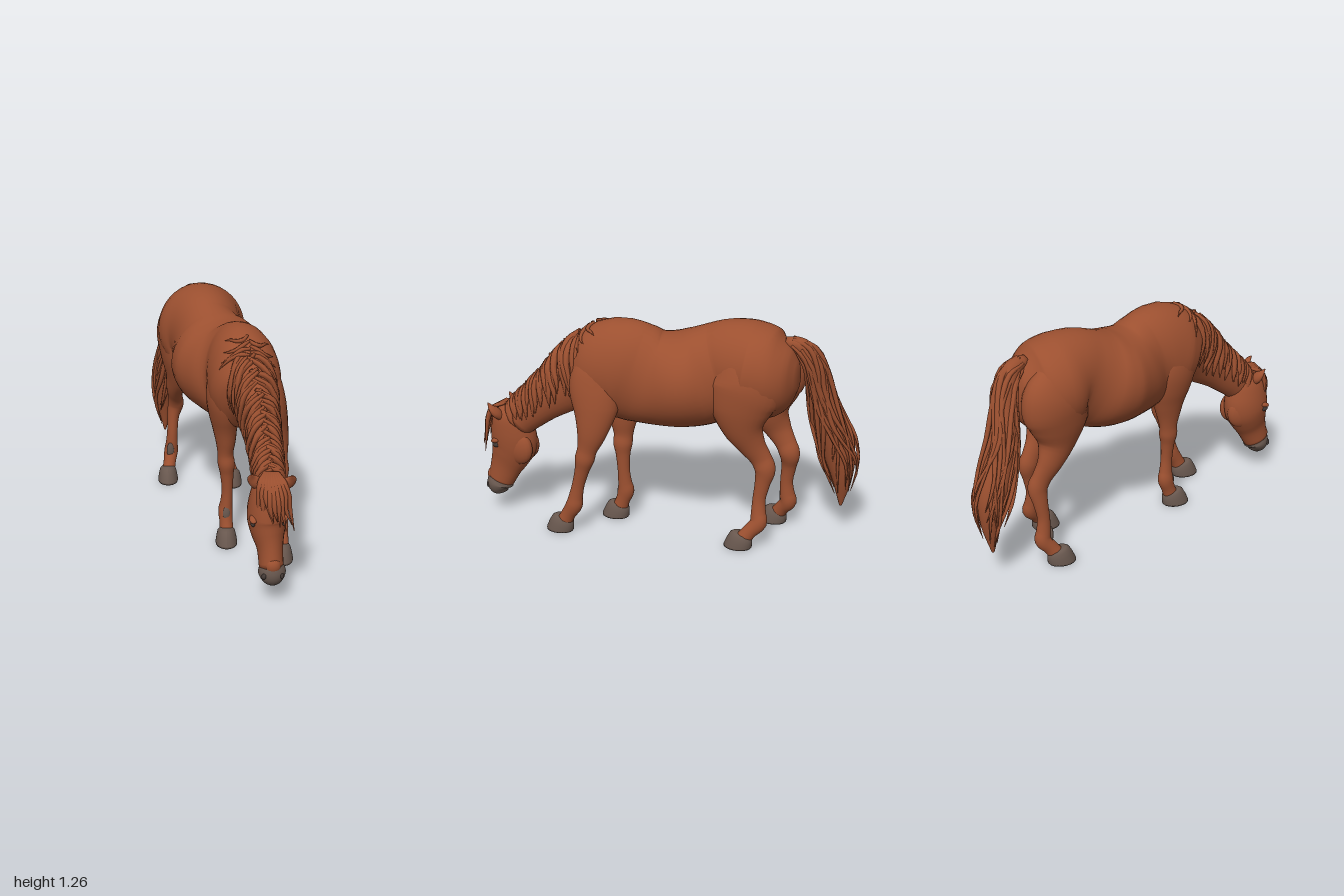
import * as THREE from 'three';
import { mergeGeometries } from 'three/addons/utils/BufferGeometryUtils.js';

const V = (x, y, z) => new THREE.Vector3(x, y, z);
const ACROSS = V(0.95, 0, -0.3); // sideways direction of the turned body
const HEAD_ACROSS = V(1, 0, -0.16);

// small seeded random in -1..1
let seed = 7;
const rnd = () => {
  seed = (seed * 16807) % 2147483647;
  return (seed / 2147483647) * 2 - 1;
};

// Surface point at (t along the path, angle) for sections [x, y, z, halfAcross, halfOther]
function sampler(sections, across) {
  const path = new THREE.CatmullRomCurve3(sections.map((s) => V(s[0], s[1], s[2])));
  const size = new THREE.CatmullRomCurve3(sections.map((s) => V(s[3], s[4], 0)), false, 'catmullrom', 0.5);
  return (t, angle, scale = 1) => {
    const p = path.getPoint(t), T = path.getTangent(t), r = size.getPoint(t);
    const L = across.clone().addScaledVector(T, -across.dot(T)).normalize();
    const U = T.cross(L);
    return p
      .addScaledVector(L, Math.max(r.x, 0.001) * Math.cos(angle) * scale)
      .addScaledVector(U, Math.max(r.y, 0.001) * Math.sin(angle) * scale);
  };
}

// Smooth capped skin over elliptical sections
function loft(sections, across = ACROSS, sides = 28, steps = 4) {
  const at = sampler(sections, across);
  const rings = (sections.length - 1) * steps;
  const pos = [], idx = [];
  for (let i = 0; i <= rings; i++)
    for (let j = 0; j < sides; j++) pos.push(...at(i / rings, (j / sides) * Math.PI * 2).toArray());
  pos.push(...at(0, 0, 0).toArray(), ...at(1, 0, 0).toArray());
  const c0 = (rings + 1) * sides, end = rings * sides;
  for (let j = 0; j < sides; j++) {
    const k = (j + 1) % sides;
    for (let i = 0; i < rings; i++) {
      const a = i * sides + j, b = i * sides + k;
      idx.push(a, b, a + sides, b, b + sides, a + sides);
    }
    idx.push(c0, k, j, c0 + 1, end + j, end + k);
  }
  const g = new THREE.BufferGeometry();
  g.setAttribute('position', new THREE.Float32BufferAttribute(pos, 3));
  g.setIndex(idx);
  g.computeVertexNormals();
  return g;
}

// Tapered lock of hair through a few points
const lock = (pts, wide, thick, across) =>
  loft(pts.map((p, i) => {
    const k = [0.6, 1, 0.9, 0.6, 0.1][Math.round((i / (pts.length - 1)) * 4)];
    return [p.x, p.y, p.z, wide * k, thick * k];
  }), across, 7, 3);

// Hoof: rounded drum, longer than wide, leaning forward and lower at the heel
function hoofGeometry() {
  const profile = [[0, 0], [0.058, 0], [0.06, 0.01], [0.054, 0.045], [0.047, 0.072], [0.036, 0.084], [0, 0.086]];
  const g = new THREE.LatheGeometry(profile.map((p) => new THREE.Vector2(...p)), 28);
  const p = g.attributes.position;
  for (let i = 0; i < p.count; i++) {
    const y = p.getY(i), z = p.getZ(i) * 1.33;
    p.setXYZ(i, p.getX(i), y * (1 + z * 3), z - y * 0.3);
  }
  g.computeVertexNormals();
  return g;
}

export function createModel() {
  const horse = new THREE.Group();
  horse.name = 'grazingHorse';
  const mat = (name, color) => Object.assign(new THREE.MeshStandardMaterial({ color }), { name });
  const coat = mat('chestnut coat', 0x9c5030);
  const hair = mat('mane and tail hair', 0x9a4f2f);
  const horn = mat('hoof and muzzle grey', 0x69584f);
  const dark = mat('dark eye and nostril', 0x453b37);
  const add = (name, geometry, material, parent = horse) => {
    const m = new THREE.Mesh(geometry, material);
    m.name = name;
    parent.add(m);
    return m;
  };
  const ball = (name, material, p, s, rot = [0, 0, 0]) => {
    const m = add(name, new THREE.SphereGeometry(1, 20, 14), material);
    m.position.set(...p);
    m.scale.set(...s);
    m.rotation.set(...rot);
  };

  // Trunk from rump to chest
  const trunk = [
    [-0.15, 0.97, -0.718, 0.05, 0.07], [-0.143, 0.97, -0.68, 0.14, 0.16],
    [-0.125, 0.97, -0.59, 0.22, 0.24], [-0.11, 0.985, -0.47, 0.25, 0.265],
    [-0.085, 0.99, -0.38, 0.215, 0.265], [-0.065, 0.965, -0.3, 0.2, 0.265],
    [-0.02, 0.925, -0.2, 0.255, 0.27], [0.03, 0.905, -0.1, 0.27, 0.265],
    [0.08, 0.905, 0.02, 0.23, 0.265], [0.125, 0.93, 0.12, 0.185, 0.285],
    [0.16, 0.952, 0.22, 0.195, 0.28], [0.18, 0.91, 0.34, 0.185, 0.24],
    [0.18, 0.885, 0.42, 0.14, 0.175], [0.175, 0.87, 0.465, 0.05, 0.07],
  ];
  add('trunk', loft(trunk, ACROSS, 40), coat);

  // Neck
  const neck = [
    [0.15, 0.98, 0.22, 0.1, 0.19], [0.19, 0.955, 0.33, 0.13, 0.2],
    [0.23, 0.895, 0.43, 0.115, 0.185], [0.265, 0.81, 0.53, 0.095, 0.152],
    [0.29, 0.73, 0.63, 0.085, 0.128], [0.31, 0.645, 0.725, 0.08, 0.112],
    [0.325, 0.58, 0.79, 0.075, 0.1],
  ];
  add('neck', loft(neck, HEAD_ACROSS), coat);

  // Head, cheeks and muzzle
  add('head', loft([
    [0.33, 0.675, 0.85, 0.03, 0.04], [0.33, 0.62, 0.84, 0.08, 0.1],
    [0.32, 0.52, 0.835, 0.098, 0.13], [0.313, 0.43, 0.835, 0.1, 0.138],
    [0.32, 0.36, 0.855, 0.088, 0.12], [0.333, 0.28, 0.885, 0.067, 0.095],
    [0.343, 0.18, 0.922, 0.062, 0.076],
  ], HEAD_ACROSS), coat);
  add('muzzle', loft([
    [0.343, 0.195, 0.914, 0.063, 0.076], [0.346, 0.168, 0.924, 0.071, 0.077],
    [0.348, 0.137, 0.922, 0.06, 0.064], [0.348, 0.11, 0.912, 0.035, 0.035],
  ], HEAD_ACROSS), horn);
  ball('noseBridge', coat, [0.352, 0.215, 0.965], [0.04, 0.045, 0.032], [0.1, 0.16, 0]);
  for (const s of [-1, 1]) {
    const side = s < 0 ? 'right' : 'left';
    const at = (x, y, z, d) => [x + s * d, y, z - s * d * 0.16];
    ball(side + 'Cheek', coat, at(0.31, 0.425, 0.79, 0.043), [0.046, 0.105, 0.097], [0.25, 0, 0]);
    ball(side + 'Brow', coat, at(0.325, 0.457, 0.91, 0.074), [0.022, 0.015, 0.036], [0.3, 0, 0]);
    ball(side + 'Eye', dark, at(0.325, 0.432, 0.91, 0.077), [0.013, 0.017, 0.027]);
    ball(side + 'Nostril', dark, at(0.352, 0.165, 0.979, 0.045), [0.013, 0.018, 0.01], [0, s * 0.6, s * 0.4]);
    // Ear: flattened leaf leaning outward
    add(side + 'Ear', loft([
      [0.335 + s * 0.05, 0.6, 0.86, 0.022, 0.02], [0.337 + s * 0.078, 0.635, 0.875, 0.034, 0.024],
      [0.338 + s * 0.098, 0.665, 0.89, 0.026, 0.016], [0.338 + s * 0.1, 0.695, 0.915, 0.003, 0.003],
    ], HEAD_ACROSS, 14), coat);
  }

  // Legs: rows are [y, halfAcross, halfAlong], with x and z listed for each leg
  const frontRows = [
    [1.12, 0.03, 0.07], [0.98, 0.075, 0.125], [0.87, 0.085, 0.142], [0.76, 0.08, 0.128], [0.68, 0.066, 0.102],
    [0.6, 0.054, 0.078], [0.52, 0.042, 0.056], [0.46, 0.046, 0.055], [0.4, 0.037, 0.042],
    [0.3, 0.03, 0.035], [0.22, 0.033, 0.04], [0.17, 0.039, 0.047], [0.11, 0.036, 0.041], [0.05, 0.038, 0.045],
  ];
  const rearRows = [
    [1.16, 0.04, 0.06], [1.07, 0.09, 0.15], [0.95, 0.118, 0.2], [0.82, 0.1, 0.178], [0.7, 0.075, 0.118],
    [0.6, 0.053, 0.078], [0.52, 0.043, 0.06], [0.46, 0.047, 0.058], [0.38, 0.035, 0.043],
    [0.28, 0.031, 0.036], [0.2, 0.036, 0.042], [0.15, 0.041, 0.047], [0.1, 0.037, 0.041], [0.05, 0.038, 0.045],
  ];
  const rearZ = [-0.47, -0.48, -0.495, -0.48, -0.49, -0.53, -0.575, -0.6, -0.592, -0.578, -0.582, -0.588, -0.55, -0.515];
  const legs = [
    ['leftFrontLeg', frontRows,
      [0.22, 0.275, 0.3, 0.32, 0.34, 0.355, 0.365, 0.37, 0.372, 0.375, 0.378, 0.38, 0.385, 0.39],
      [0.27, 0.285, 0.285, 0.27, 0.27, 0.28, 0.3, 0.315, 0.33, 0.357, 0.375, 0.385, 0.42, 0.45]],
    ['rightFrontLeg', frontRows,
      [0.1, 0.07, 0.055, 0.06, 0.065, 0.07, 0.07, 0.075, 0.078, 0.08, 0.075, 0.07, 0.075, 0.08],
      [0.27, 0.28, 0.27, 0.255, 0.25, 0.25, 0.25, 0.252, 0.25, 0.245, 0.24, 0.237, 0.255, 0.275]],
    ['leftRearLeg', rearRows,
      [-0.02, 0.01, 0.022, 0.04, 0.035, 0.01, -0.015, -0.02, -0.01, 0.0, 0.01, 0.02, 0.045, 0.068], rearZ],
    ['rightRearLeg', rearRows,
      [-0.2, -0.23, -0.25, -0.25, -0.25, -0.275, -0.28, -0.28, -0.295, -0.3, -0.305, -0.31, -0.315, -0.32],
      rearZ.map((z, i) => z - Math.min(0.02, i * 0.003))],
  ];
  for (const [name, rows, xs, zs] of legs) {
    const leg = new THREE.Group();
    leg.name = name;
    horse.add(leg);
    add(name + 'Limb', loft(rows.map((r, i) => [xs[i], r[0], zs[i], r[1], r[2]])), coat, leg);
    const hoof = add(name + 'Hoof', hoofGeometry(), horn, leg);
    hoof.position.set(xs[13], 0, zs[13] + 0.03);
    hoof.rotation.y = 0.12;
  }
  // Grey marks on the front of the two right fetlocks
  ball('rightFrontFetlockMark', horn, [0.078, 0.17, 0.278], [0.02, 0.038, 0.009], [-0.1, 0.25, 0]);
  ball('rightRearFetlockMark', horn, [-0.31, 0.175, -0.562], [0.022, 0.048, 0.009], [0.05, 0.25, 0]);

  // Mane: overlapping locks falling from the crest down both sides of the neck
  const onNeck = sampler(neck, HEAD_ACROSS), onTrunk = sampler(trunk, ACROSS);
  const DEG = Math.PI / 180, mane = [];
  for (let i = 0; i < 30; i++)
    for (const s of [-1, 1]) {
      const u = i / 29, t = 0.08 + u * 0.82 + rnd() * 0.018;
      const reach = 104 - u * 14 + rnd() * 20;
      const drift = 0.055 - u * 0.02 + rnd() * 0.012;
      const pts = [-8, 0.3 * reach, 0.55 * reach, 0.8 * reach, reach].map((a, k) =>
        onNeck(Math.min(1, t + k * drift), (90 - s * (a + rnd() * 4)) * DEG, 1.03 + (1 - u) * 0.02 + rnd() * 0.03));
      mane.push(lock(pts, 0.021, 0.016, V(0, 0.7, 1)));
    }
  // Loose wisps over the withers
  for (let i = 0; i < 4; i++)
    for (const s of [-1, 1]) {
      const t = 0.845 - i * 0.018 + s * 0.005;
      const pts = [0, 14, 28, 42, 54].map((a, k) =>
        onTrunk(t - 0.008 * Math.sin(k * 1.2 + i), (90 - s * a * (1 - i * 0.12)) * DEG, 1.01));
      mane.push(lock(pts, 0.012, 0.012, V(0, 0.3, 1)));
    }
  // Forelock over the brow
  for (let i = -4; i <= 4; i++) {
    const x = i / 4, drop = rnd() * 0.03 - x * 0.028;
    mane.push(lock([
      V(0.335 + x * 0.03, 0.68, 0.85), V(0.34 + x * 0.055, 0.655, 0.915), V(0.35 + x * 0.072, 0.59, 0.962 - x * x * 0.03),
      V(0.36 + x * 0.077 + rnd() * 0.008, 0.53, 0.975 - x * x * 0.04),
      V(0.374 + x * 0.074 + rnd() * 0.015, 0.455 + drop, 0.975 - x * x * 0.04),
    ], 0.019, 0.013, V(1, 0, 0.2)));
  }
  add('mane', mergeGeometries(mane), hair);

  // Tail: full core wrapped in long wavy locks
  const tail = [
    [-0.155, 1.155, -0.63, 0.03, 0.03], [-0.19, 1.13, -0.71, 0.048, 0.05], [-0.235, 1.02, -0.77, 0.06, 0.058],
    [-0.28, 0.86, -0.79, 0.068, 0.066], [-0.322, 0.68, -0.83, 0.078, 0.084],
    [-0.36, 0.5, -0.88, 0.074, 0.09], [-0.37, 0.35, -0.902, 0.052, 0.06], [-0.375, 0.17, -0.9, 0.006, 0.008],
  ];
  add('tailCore', loft(tail, ACROSS, 18), hair);
  const onTail = sampler(tail, ACROSS), locks = [];
  for (let i = 0; i < 36; i++) {
    const a = i * 2.4, start = 0.06 + (i % 5) * 0.08, end = 0.86 + rnd() * 0.13;
    const pts = [], splay = 0.28 + rnd() * 0.2;
    for (let k = 0; k <= 6; k++) {
      const u = k / 6;
      pts.push(onTail(start + (end - start) * u, a + 0.45 * Math.sin(u * 5 + i), 0.92 + u * splay));
    }
    locks.push(lock(pts, 0.016, 0.014, ACROSS));
  }
  add('tailLocks', mergeGeometries(locks), hair);

  return horse;
}
